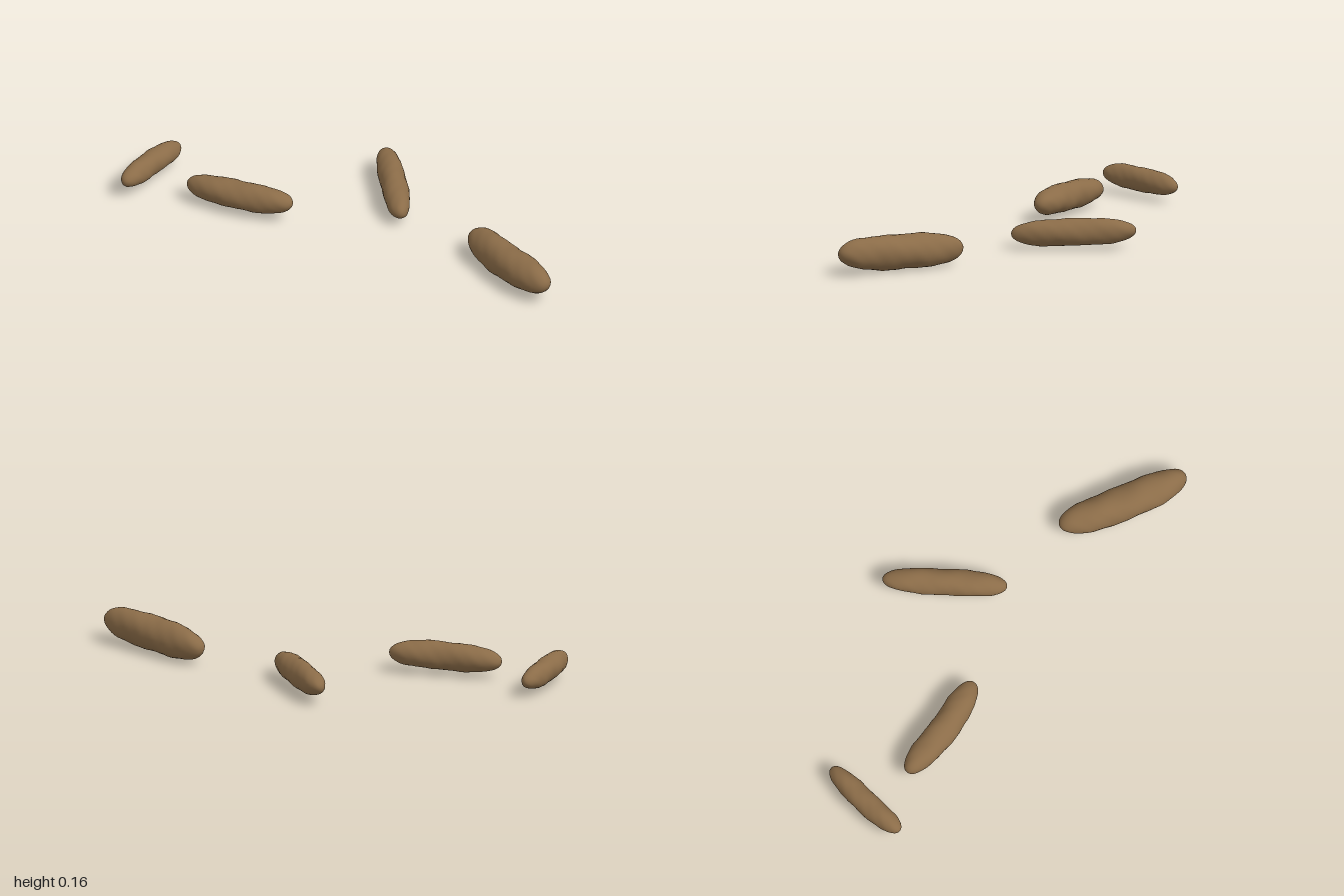
import * as THREE from 'three';
import { mergeVertices } from 'three/addons/utils/BufferGeometryUtils.js';

// Each pellet: start, middle and end of its centreline, half width, half height
const PELLETS = [
  { name: 'frontPellet', path: [[0.425, 0.105, 1.0], [0.424, 0.086, 0.7], [0.448, 0.08, 0.4]], w: 0.077, h: 0.077, seed: 1 },
  { name: 'leftPellet', path: [[0.288, 0.074, 0.075], [0.413, 0.082, -0.16], [0.541, 0.09, -0.412]], w: 0.058, h: 0.06, seed: 2.3 },
  { name: 'middlePellet', path: [[-0.068, 0.095, -0.248], [-0.205, 0.089, -0.452], [-0.322, 0.082, -0.688]], w: 0.064, h: 0.062, seed: 4.1 },
  { name: 'backPellet', path: [[-0.562, 0.09, -0.833], [-0.372, 0.085, -0.913], [-0.166, 0.08, -0.982]], w: 0.051, h: 0.053, seed: 5.7 },
];

// A long blunt-ended body: a sphere stretched along a bent centreline, slightly lumpy
function pelletGeometry({ path, w, h, seed }) {
  const curve = new THREE.CatmullRomCurve3(path.map((p) => new THREE.Vector3(...p)));
  const geo = new THREE.SphereGeometry(1, 32, 48);
  geo.deleteAttribute('normal');
  geo.deleteAttribute('uv');
  const pos = geo.attributes.position;
  const worldUp = new THREE.Vector3(0, 1, 0);
  for (let i = 0; i < pos.count; i++) {
    const t = THREE.MathUtils.clamp(pos.getY(i), -1, 1);
    const ring = Math.hypot(pos.getX(i), pos.getZ(i));
    const a = ring > 1e-5 ? Math.atan2(pos.getZ(i), pos.getX(i)) : 0;
    const r = Math.pow(Math.max(0, 1 - Math.pow(Math.abs(t), 3.2)), 0.46);
    const lumps = 1
      + 0.025 * Math.sin(3 * a + 5 * t + seed)
      + 0.02 * Math.sin(2 * a - 11 * t + seed * 2)
      + 0.012 * Math.sin(5 * a + 23 * t + seed * 3);
    const u = (t + 1) / 2;
    const centre = curve.getPoint(u);
    const along = curve.getTangent(u);
    const side = along.clone().cross(worldUp).normalize();
    const up = side.clone().cross(along);
    centre.addScaledVector(side, Math.cos(a) * r * w * lumps);
    centre.addScaledVector(up, Math.sin(a) * r * h * lumps);
    pos.setXYZ(i, centre.x, centre.y, centre.z);
  }
  const welded = mergeVertices(geo, 1e-5);
  welded.computeVertexNormals();
  return welded;
}

export function createModel() {
  const group = new THREE.Group();
  group.name = 'pellets';
  const brown = new THREE.MeshStandardMaterial({ color: 0x8b6c48 });
  brown.name = 'brown';
  for (const spec of PELLETS) {
    const mesh = new THREE.Mesh(pelletGeometry(spec), brown);
    mesh.name = spec.name;
    group.add(mesh);
  }
  return group;
}
